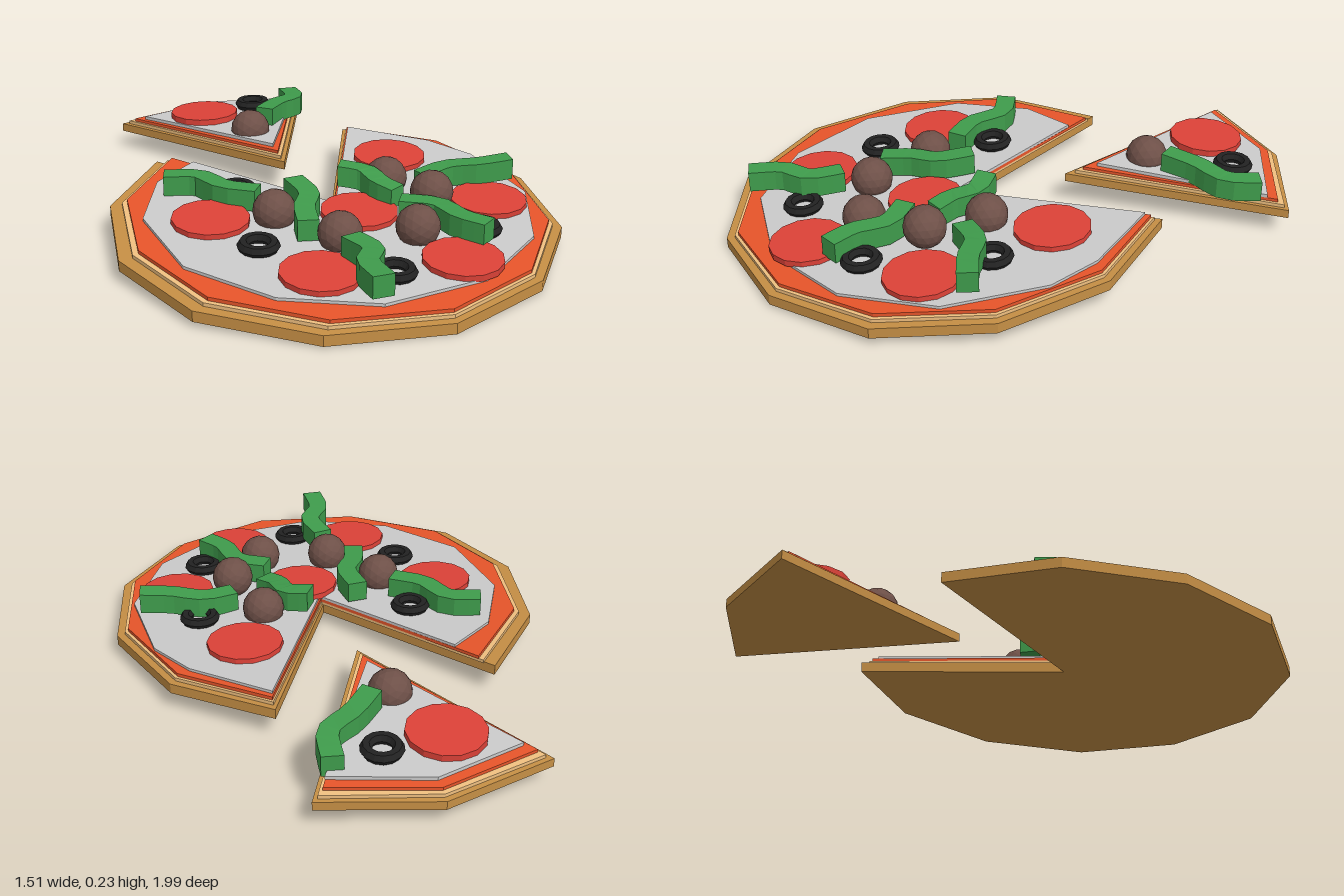
import * as THREE from 'three';

const mat = (color) => new THREE.MeshStandardMaterial({ color, flatShading: true });
const M = {
  crust: mat(0xc68f45), dough: mat(0xf0c080), sauce: mat(0xe8552a), cheese: mat(0xcccccc),
  salami: mat(0xdd4238), olive: mat(0x222222), meat: mat(0x6e5048), pepper: mat(0x3f9c4c),
};

// Underside heights of the two tilted pieces
const wheelBase = (z) => 0.055 * (1 - z);
const sliceBase = (z) => 0.062 + 0.037 * (z + 1);

function add(group, name, geo, material) {
  const mesh = new THREE.Mesh(geo, material);
  mesh.name = name;
  group.add(mesh);
  return mesh;
}

// Flat layer with an [x, z] outline, sheared to follow the tilt
function layer(group, name, outline, y0, y1, base, material) {
  const shape = new THREE.Shape(outline.map(([x, z]) => new THREE.Vector2(x, -z)));
  const geo = new THREE.ExtrudeGeometry(shape, { depth: y1 - y0, bevelEnabled: false });
  geo.rotateX(-Math.PI / 2);
  const p = geo.attributes.position;
  for (let i = 0; i < p.count; i++) p.setY(i, p.getY(i) + y0 + base(p.getZ(i)));
  geo.computeVertexNormals();
  add(group, name, geo, material);
}

// Place a flat topping on the tilted surface
function lay(mesh, x, z, lift, base) {
  mesh.position.set(x, base(z) + lift, z);
  mesh.rotation.x = -Math.atan(base(1) - base(0));
}

function salami(group, x, z, base) {
  lay(add(group, 'salamiDisc', new THREE.CylinderGeometry(0.13, 0.13, 0.022, 14), M.salami), x, z, 0.077, base);
}

function olive(group, x, z, base) {
  const geo = new THREE.TorusGeometry(0.05, 0.02, 6, 14).rotateX(Math.PI / 2);
  lay(add(group, 'oliveRing', geo, M.olive), x, z, 0.083, base);
}

function meatball(group, x, y, z) {
  add(group, 'meatball', new THREE.IcosahedronGeometry(0.073, 2), M.meat).position.set(x, y, z);
}

// Square strip bent along a curve
function pepper(group, pts, yStart, yEnd) {
  const curve = new THREE.CatmullRomCurve3(pts.map(([x, z], i) =>
    new THREE.Vector3(x, yStart + (yEnd - yStart) * i / (pts.length - 1), z)));
  const geo = new THREE.BoxGeometry(1, 0.072, 0.07, 8, 1, 1).toNonIndexed();
  const p = geo.attributes.position;
  for (let i = 0; i < p.count; i++) {
    const t = THREE.MathUtils.clamp(p.getX(i) + 0.5, 0, 1);
    const c = curve.getPoint(t), d = curve.getTangent(t).setY(0).normalize();
    const side = p.getZ(i);
    p.setXYZ(i, c.x - d.z * side, c.y + p.getY(i), c.z + d.x * side);
  }
  geo.computeVertexNormals();
  add(group, 'pepperStrip', geo, M.pepper);
}

export function createModel() {
  const root = new THREE.Group();
  root.name = 'pizza';

  // Main wheel with the missing wedge
  const wheel = new THREE.Group();
  wheel.name = 'pizzaWheel';
  root.add(wheel);
  const rim = [[-0.43, -0.4], [-0.685, -0.1], [-0.76, 0.285], [-0.64, 0.655], [-0.335, 0.915], [0.055, 0.99],
    [0.425, 0.86], [0.68, 0.57], [0.755, 0.185], [0.63, -0.195], [0.335, -0.45], [0, 0.2]];
  const sauceRim = [[-0.385, -0.36], [-0.63, -0.08], [-0.695, 0.285], [-0.585, 0.635], [-0.3, 0.88], [0.065, 0.95],
    [0.405, 0.825], [0.64, 0.55], [0.715, 0.185], [0.6, -0.175], [0.335, -0.41], [0.01, 0.2]];
  const doughRim = rim.map(([x, z], i) => [x * 0.3 + sauceRim[i][0] * 0.7, z * 0.3 + sauceRim[i][1] * 0.7]);
  const cheeseRim = [[-0.33, -0.28], [-0.5, -0.16], [-0.625, 0.095], [-0.6, 0.45], [-0.405, 0.725], [-0.12, 0.87],
    [0.24, 0.84], [0.52, 0.65], [0.67, 0.35], [0.65, 0], [0.56, -0.17], [0.33, -0.39], [0.015, 0.205]];
  layer(wheel, 'crust', rim, 0, 0.036, wheelBase, M.crust);
  layer(wheel, 'dough', doughRim, 0.036, 0.048, wheelBase, M.dough);
  layer(wheel, 'sauce', sauceRim, 0.048, 0.06, wheelBase, M.sauce);
  layer(wheel, 'cheese', cheeseRim, 0.06, 0.07, wheelBase, M.cheese);

  for (const [x, z] of [[-0.425, 0.195], [0.055, 0.31], [0.35, -0.07], [0.505, 0.38], [0.22, 0.72], [-0.23, 0.65]])
    salami(wheel, x, z, wheelBase);
  for (const [x, z] of [[-0.27, 0.02], [-0.345, 0.425], [-0.015, 0.725], [0.375, 0.56], [0.465, 0.15]])
    olive(wheel, x, z, wheelBase);
  for (const [x, y, z] of [[-0.225, 0.145, 0.255], [-0.09, 0.135, 0.48], [0.16, 0.137, 0.53],
    [0.305, 0.163, 0.345], [0.24, 0.145, 0.13]])
    meatball(wheel, x, y, z);
  pepper(wheel, [[-0.5, -0.075], [-0.39, -0.035], [-0.34, 0.08], [-0.245, 0.155]], 0.16, 0.155);
  pepper(wheel, [[-0.105, 0.12], [-0.1, 0.25], [-0.15, 0.33], [-0.18, 0.435]], 0.16, 0.14);
  pepper(wheel, [[0.075, 0.1], [0.15, 0.15], [0.165, 0.235], [0.2, 0.3]], 0.175, 0.14);
  pepper(wheel, [[0.325, 0.225], [0.44, 0.2], [0.545, 0.24], [0.655, 0.26]], 0.145, 0.172);
  pepper(wheel, [[0.165, 0.39], [0.265, 0.46], [0.29, 0.575], [0.345, 0.66]], 0.145, 0.138);
  pepper(wheel, [[-0.1, 0.58], [-0.08, 0.7], [-0.135, 0.78], [-0.14, 0.9]], 0.14, 0.152);

  // Separate slice behind
  const slice = new THREE.Group();
  slice.name = 'pizzaSlice';
  root.add(slice);
  const layers = [
    ['crust', 0, 0.03, M.crust, [[-0.425, -0.9], [-0.045, -1], [0.335, -0.9], [-0.01, -0.195]]],
    ['dough', 0.03, 0.042, M.dough, [[-0.4, -0.89], [-0.045, -0.98], [0.315, -0.89], [-0.01, -0.23]]],
    ['sauce', 0.042, 0.053, M.sauce, [[-0.38, -0.873], [-0.045, -0.963], [0.295, -0.873], [-0.01, -0.26]]],
    ['cheese', 0.053, 0.065, M.cheese, [[-0.345, -0.845], [-0.04, -0.93], [0.28, -0.84], [-0.01, -0.31]]],
  ];
  for (const [name, y0, y1, material, outline] of layers) layer(slice, name, outline, y0, y1, sliceBase, material);
  salami(slice, -0.13, -0.75, sliceBase);
  olive(slice, 0.085, -0.78, sliceBase);
  meatball(slice, -0.03, 0.153, -0.497);
  pepper(slice, [[0.25, -0.82], [0.23, -0.7], [0.135, -0.635], [0.045, -0.545]], 0.15, 0.175);
  return root;
}
